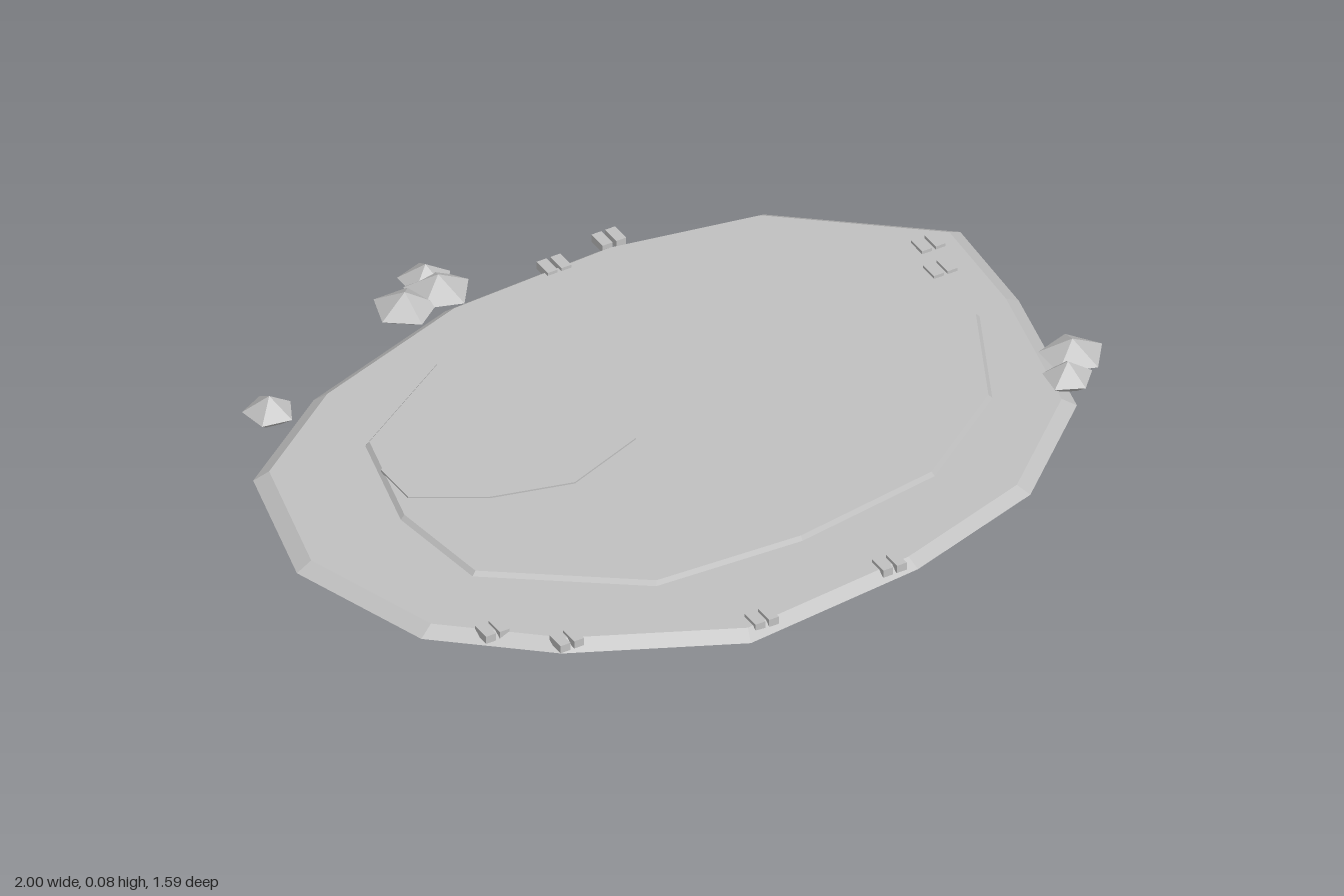
import * as THREE from 'three';

const stone = new THREE.MeshStandardMaterial({ color: 0xc0c0c0, flatShading: true });
stone.name = 'grey stone';

// Outlines as [x, z], running left, back, right, front
const groundOutline = [
  [-1, 0.03], [-0.905, -0.325], [-0.63, -0.52], [-0.2, -0.66], [0.24, -0.68], [0.61, -0.61], [0.96, -0.325],
  [0.94, -0.03], [0.85, 0.38], [0.585, 0.62], [0.22, 0.735], [-0.25, 0.785], [-0.64, 0.6], [-0.885, 0.39],
];
const terraceOutline = [
  [-0.71, 0], [-0.635, -0.285], [-0.345, -0.465], [0.035, -0.51], [0.415, -0.44], [0.73, -0.28],
  [0.82, 0], [0.685, 0.285], [0.42, 0.475], [0.035, 0.535], [-0.34, 0.515], [-0.68, 0.27],
];
const patchOutline = [
  [-0.66, -0.17], [-0.515, -0.265], [-0.305, -0.29], [-0.11, -0.23], [-0.035, -0.105],
  [-0.1, 0.02], [-0.305, 0.095], [-0.5, 0.045], [-0.66, -0.05],
];

// Flat slab whose top ring is the outline shrunk about its middle
function slab(name, outline, y0, y1, topScale) {
  const n = outline.length;
  const cx = outline.reduce((s, p) => s + p[0], 0) / n;
  const cz = outline.reduce((s, p) => s + p[1], 0) / n;
  const bottom = outline.map(([x, z]) => [x, y0, z]);
  const top = outline.map(([x, z]) => [cx + (x - cx) * topScale, y1, cz + (z - cz) * topScale]);
  const positions = [];
  for (let i = 0; i < n; i++) {
    const j = (i + 1) % n;
    positions.push(
      ...[cx, y1, cz], ...top[j], ...top[i],
      ...[cx, y0, cz], ...bottom[i], ...bottom[j],
      ...bottom[j], ...bottom[i], ...top[i],
      ...bottom[j], ...top[i], ...top[j],
    );
  }
  const geometry = new THREE.BufferGeometry();
  geometry.setAttribute('position', new THREE.Float32BufferAttribute(positions, 3));
  geometry.computeVertexNormals();
  const mesh = new THREE.Mesh(geometry, stone);
  mesh.name = name;
  return mesh;
}

// Five-sided faceted rock: pointed top, narrow base
function rock(x, z, radius, turn) {
  const profile = [[0, 0.01], [radius * 0.5, 0.01], [radius, 0.034], [0, 0.077]]
    .map(([r, y]) => new THREE.Vector2(r, y));
  const mesh = new THREE.Mesh(new THREE.LatheGeometry(profile, 5, turn), stone);
  mesh.name = 'rock';
  mesh.position.set(x, 0, z);
  return mesh;
}

// Two small blocks side by side
function blockPair(x, z) {
  const pair = new THREE.Group();
  pair.name = 'blockPair';
  for (const side of [-1, 1]) {
    const block = new THREE.Mesh(new THREE.BoxGeometry(0.026, 0.02, 0.05), stone);
    block.name = 'block';
    block.position.set(x + side * 0.018, 0.02, z);
    pair.add(block);
  }
  return pair;
}

export function createModel() {
  const model = new THREE.Group();
  model.name = 'rockyGround';

  // Stepped ground
  model.add(slab('ground', groundOutline, 0, 0.022, 0.962));
  model.add(slab('terrace', terraceOutline, 0.02, 0.033, 0.985));
  model.add(slab('patch', patchOutline, 0.031, 0.037, 1));

  // Rocks around the rim
  const rocks = [
    [-0.295, -0.68, 0.077, 0], [-0.195, -0.7, 0.08, 0.31], [-0.2, -0.748, 0.065, 0.31],
    [-0.762, -0.495, 0.062, 0.46], [0.918, 0.245, 0.078, 0.31], [0.865, 0.315, 0.06, 0.2],
  ];
  for (const r of rocks) model.add(rock(...r));

  // Block pairs set into the rim
  const pairs = [
    [-0.744, 0.468], [-0.617, 0.585], [-0.195, 0.74], [0.16, 0.71],
    [0.085, -0.657], [0.245, -0.683], [0.833, -0.2], [0.858, -0.295],
  ];
  for (const p of pairs) model.add(blockPair(...p));

  return model;
}
